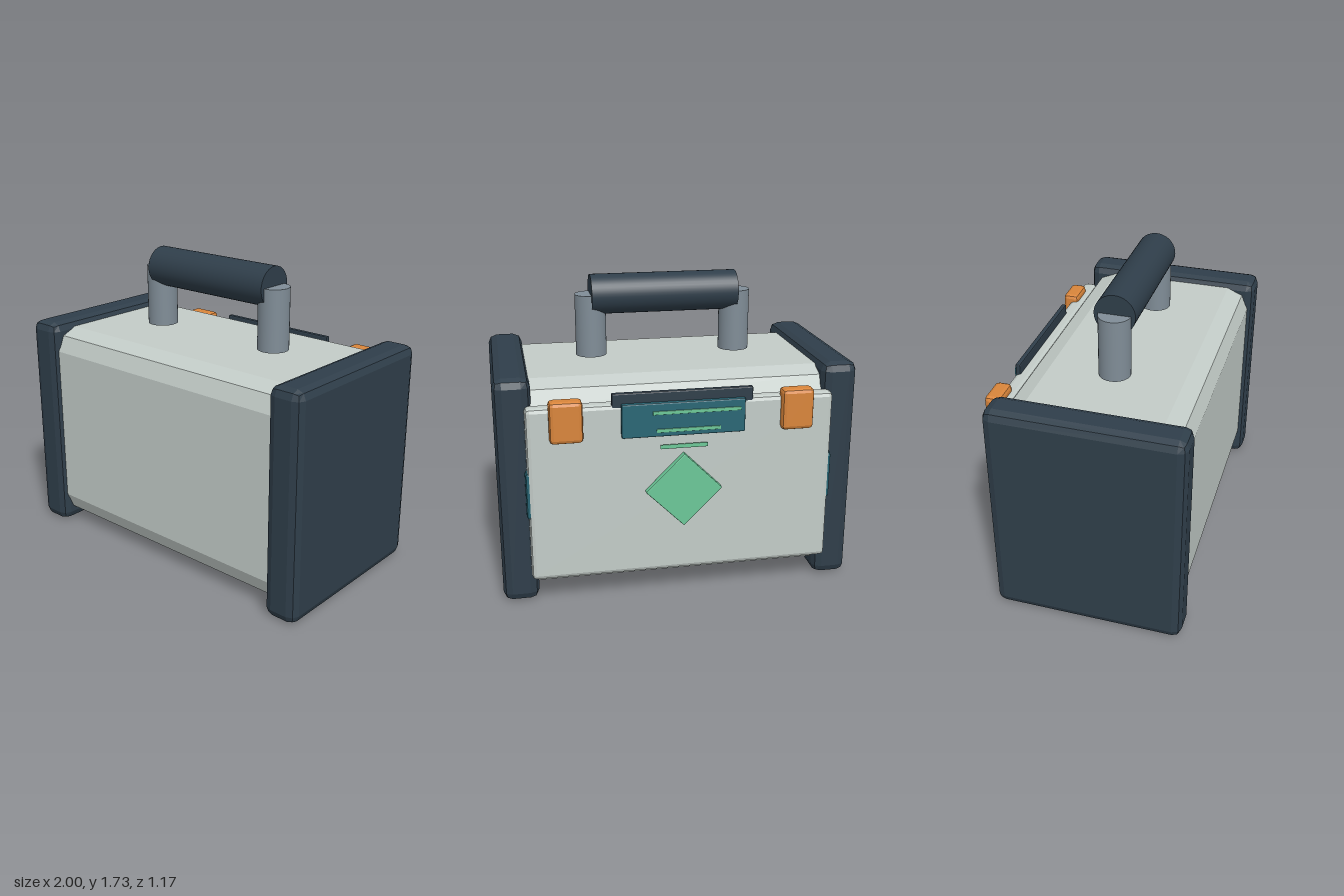
import * as THREE from 'three';
import { RoundedBoxGeometry } from 'three/addons/geometries/RoundedBoxGeometry.js';

const paint = (name, color) => {
  const m = new THREE.MeshStandardMaterial({ color });
  m.name = name;
  return m;
};

export function createModel() {
  const shell = paint('pale grey shell', 0xc3ccc8);
  const navy = paint('dark navy', 0x2f3e4a);
  const steel = paint('steel grey', 0x808d97);
  const orange = paint('orange', 0xd9853b);
  const teal = paint('teal', 0x296675);
  const green = paint('green', 0x6cc898);

  const group = new THREE.Group();
  const Z = 0.05; // centre of the case, front to back

  const add = (name, geometry, material, x, y, z) => {
    const mesh = new THREE.Mesh(geometry, material);
    mesh.name = name;
    mesh.position.set(x, y, z);
    group.add(mesh);
    return mesh;
  };

  // Box with faceted, two-step bevelled edges, given by its x, y and z ranges
  const block = (name, material, [x0, x1], [y0, y1], [z0, z1], bevel) => {
    const geometry = new RoundedBoxGeometry(x1 - x0, y1 - y0, z1 - z0, 1, bevel);
    geometry.computeVertexNormals();
    return add(name, geometry, material, (x0 + x1) / 2, (y0 + y1) / 2, (z0 + z1) / 2);
  };

  // Case body: rounded section with two facets per corner, extruded along x
  const profile = [];
  const r = 0.13;
  for (let corner = 0; corner < 4; corner++) {
    const cx = (corner === 0 || corner === 3 ? 1 : -1) * (0.5 - r);
    const cy = (corner < 2 ? 1 : -1) * (0.6 - r);
    for (let step = 0; step < 3; step++) {
      const a = corner * Math.PI / 2 + step * Math.PI / 4;
      profile.push(new THREE.Vector2(cx + r * Math.cos(a), cy + r * Math.sin(a)));
    }
  }
  const bodyGeometry = new THREE.ExtrudeGeometry(new THREE.Shape(profile), { depth: 1.64, bevelEnabled: false });
  bodyGeometry.translate(0, 0, -0.82).rotateY(Math.PI / 2);
  add('caseBody', bodyGeometry, shell, 0, 0.65, Z);

  // Back door
  block('backDoor', shell, [-0.84, 0.84], [0.155, 1.145], [-0.545, -0.455], 0.025);

  // Mirrored parts: end caps, handle posts, latches, side hinges
  for (const s of [-1, 1]) {
    const side = s > 0 ? 'left' : 'right';
    const span = (a, b) => (s > 0 ? [a, b] : [-b, -a]);
    block(side + 'EndCap', navy, span(0.8, 1), [0, 1.29], [-0.485, 0.585], 0.05);
    add(side + 'HandlePost', new THREE.CylinderGeometry(0.088, 0.088, 0.35, 32), steel, s * 0.42, 1.445, Z);
    block(side + 'Latch', orange, span(0.54, 0.718), [0.955, 1.185], [-0.588, -0.495], 0.022);
    block(side + 'Hinge', teal, span(0.8, 0.852), [0.515, 0.79], [-0.538, -0.46], 0.02);
  }

  // Handle grip
  const grip = new THREE.CylinderGeometry(0.113, 0.113, 0.84, 40).rotateZ(Math.PI / 2);
  add('handleGrip', grip, navy, 0, 1.617, Z);

  // Dark bar and label plate on the door
  block('topBar', navy, [-0.385, 0.385], [1.11, 1.205], [-0.542, -0.513], 0.008);
  block('labelPlate', teal, [-0.337, 0.337], [0.96, 1.15], [-0.57, -0.54], 0.008);

  // Green label stripes and dash
  block('upperStripe', green, [-0.31, 0.17], [1.085, 1.105], [-0.577, -0.568], 0.003);
  block('lowerStripe', green, [-0.2, 0.15], [0.985, 1.005], [-0.577, -0.568], 0.003);
  block('dash', green, [-0.13, 0.13], [0.89, 0.914], [-0.574, -0.565], 0.003);

  // Green diamond badge
  const badge = block('diamondBadge', green, [-0.15, 0.15], [0.498, 0.798], [-0.585, -0.545], 0.006);
  badge.rotation.z = Math.PI / 4;

  return group;
}
